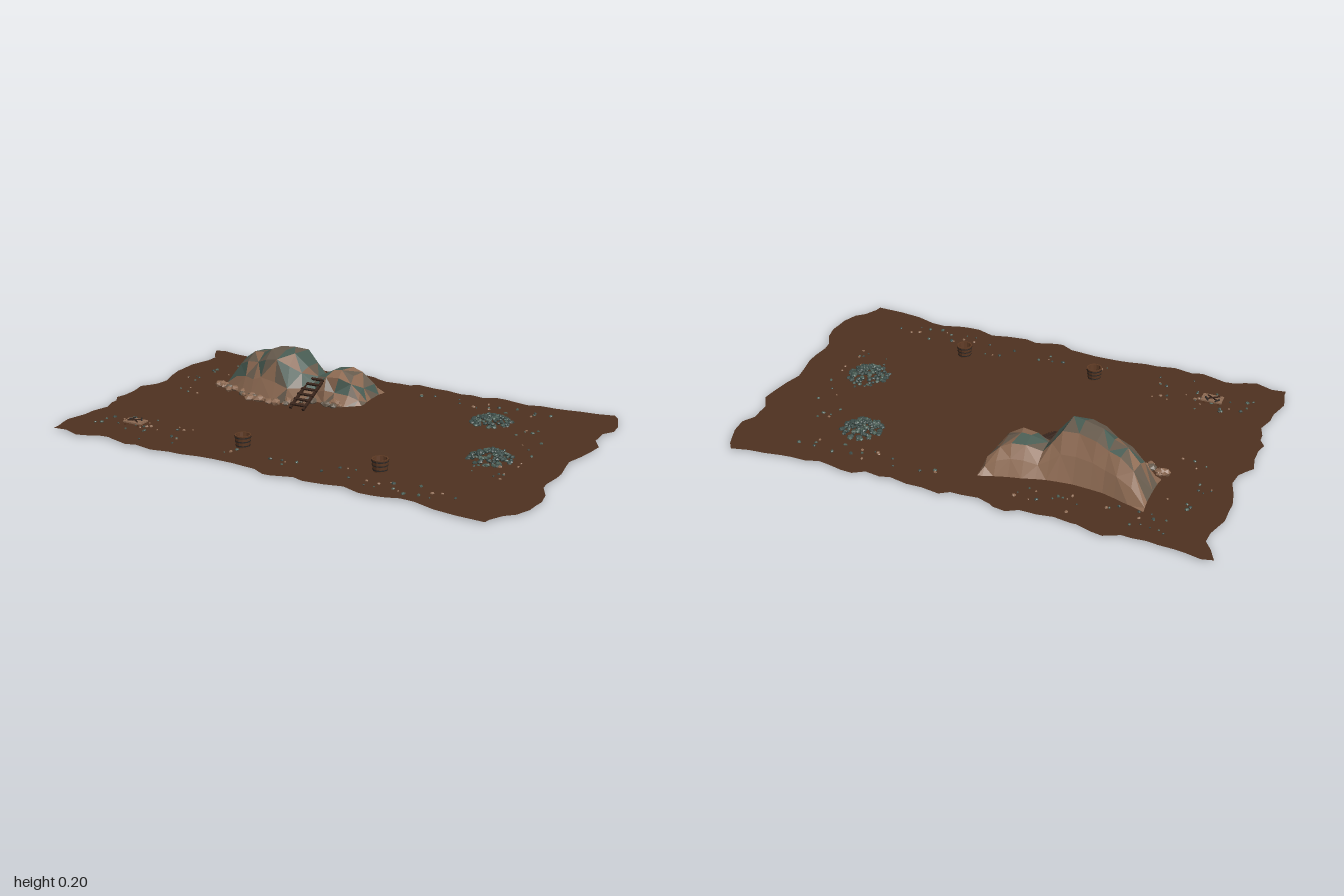
import * as THREE from 'three';
import { mergeGeometries } from 'three/addons/utils/BufferGeometryUtils.js';

const mat = (name, color, side = THREE.FrontSide) => {
  const m = new THREE.MeshStandardMaterial({ color, flatShading: true, side });
  m.name = name;
  return m;
};
const GROUND_Y = 0.006;

export function createModel() {
  const M = {
    earth: mat('earth brown', 0x4f3220, THREE.DoubleSide),
    tan: mat('tan rock', 0x8e6b53),
    grey: mat('grey brown rock', 0x685c4e),
    green: mat('green grey rock', 0x4a5e55),
    ore: mat('dark ore', 0x3a4a46),
    wood: mat('wood', 0x5e3a24),
    darkWood: mat('dark wood', 0x38241a),
    iron: mat('iron', 0x2c2826),
  };
  const model = new THREE.Group();
  model.name = 'quarry';
  let seed = 7;
  const rnd = (a = 0, b = 1) => {
    seed = (seed * 16807) % 2147483647;
    return a + (b - a) * (seed / 2147483647);
  };
  const add = (parent, name, geo, material, x = 0, y = 0, z = 0) => {
    const mesh = new THREE.Mesh(geo, material);
    mesh.name = name;
    mesh.position.set(x, y, z);
    parent.add(mesh);
    return mesh;
  };
  const group = (name, x = 0, y = 0, z = 0) => {
    const g = new THREE.Group();
    g.name = name;
    g.position.set(x, y, z);
    model.add(g);
    return g;
  };
  // Angular stone centred on a point
  const stone = (x, y, z, r, flat = 0.7) => {
    const g = new THREE.IcosahedronGeometry(1, 0);
    g.rotateX(rnd(0, 6)).rotateZ(rnd(0, 6));
    g.scale(r * rnd(0.8, 1.25), r * flat, r * rnd(0.7, 1.1));
    g.rotateY(rnd(0, 6));
    return g.translate(x, Math.max(y, r * flat * 0.95), z);
  };

  // Ragged sheet of ground: corner points with jittered steps between them
  const outline = [[-0.99, -0.6], [-0.85, -0.59], [-0.7, -0.58], [-0.55, -0.6], [-0.4, -0.57], [-0.22, -0.6],
    [-0.1, -0.56], [0.05, -0.59], [0.25, -0.56], [0.4, -0.59], [0.55, -0.57], [0.7, -0.59], [0.9, -0.62],
    [0.96, -0.5], [0.94, -0.35], [0.96, -0.18], [0.93, 0], [0.94, 0.2], [0.98, 0.36], [0.95, 0.5], [0.88, 0.61],
    [0.6, 0.57], [0.45, 0.59], [0.25, 0.58], [0.03, 0.6], [-0.1, 0.57], [-0.3, 0.57], [-0.5, 0.6], [-0.7, 0.57],
    [-0.8, 0.59], [-0.97, 0.59], [-0.99, 0.48], [-0.94, 0.28], [-0.98, 0.16], [-0.99, 0.0], [-0.93, -0.12],
    [-0.97, -0.3], [-0.94, -0.45]];
  const edge = [];
  outline.forEach(([x, z], i) => {
    const [nx, nz] = outline[(i + 1) % outline.length];
    for (let k = 0; k < 3; k++) {
      const t = k / 3, j = k ? 0.017 : 0.005;
      const px = THREE.MathUtils.clamp(x + (nx - x) * t + rnd(-j, j), -1, 1);
      const pz = THREE.MathUtils.clamp(z + (nz - z) * t + rnd(-j, j), -0.62, 0.62);
      edge.push(new THREE.Vector2(px, -pz));
    }
  });
  const ground = new THREE.ShapeGeometry(new THREE.Shape(edge)).rotateX(-Math.PI / 2);
  add(model, 'ground', ground, M.earth, 0, GROUND_Y, 0);

  // Cliff stations: x, height, back foot z, back crest z, front crest z, front foot z
  const stations = [
    [-0.685, 0.025, -0.425, -0.38, -0.31, -0.19], [-0.62, 0.115, -0.40, -0.34, -0.29, -0.16],
    [-0.56, 0.155, -0.38, -0.32, -0.25, -0.135], [-0.51, 0.165, -0.365, -0.31, -0.24, -0.12],
    [-0.46, 0.19, -0.36, -0.30, -0.23, -0.10], [-0.39, 0.2, -0.355, -0.29, -0.21, -0.09],
    [-0.33, 0.197, -0.36, -0.29, -0.20, -0.10], [-0.29, 0.14, -0.365, -0.30, -0.22, -0.14],
    [-0.25, 0.095, -0.375, -0.31, -0.25, -0.18], [-0.20, 0.125, -0.39, -0.33, -0.27, -0.18],
    [-0.15, 0.13, -0.40, -0.345, -0.27, -0.175], [-0.10, 0.11, -0.415, -0.355, -0.285, -0.185],
    [-0.06, 0.06, -0.43, -0.37, -0.30, -0.205], [-0.04, 0.012, -0.435, -0.38, -0.31, -0.23]];
  const rings = stations.map(([x, h, zb, c1, c2, zf], i) => {
    const end = i === 0 || i === stations.length - 1;
    const j = (s) => (end ? 0 : rnd(-s, s));
    const p = (y, z, s) => [x + j(s), y, z + j(s)];
    return [p(0.004, zb, 0), p(h * 0.55, zb + (c1 - zb) * 0.45, 0.002), p(h * 0.96, c1, 0.005),
      p(h, c2, 0.008), p(h * (0.82 + j(0.06)), c2 + (zf - c2) * 0.45, 0.012),
      p(h * (0.42 + j(0.08)), c2 + (zf - c2) * 0.75, 0.012), p(0.004, zf, 0.006)];
  });
  const faces = { tan: [], grey: [], green: [] };
  for (let i = 0; i < rings.length - 1; i++) {
    for (let j = 0; j < 6; j++) {
      const a = rings[i][j], b = rings[i][j + 1], c = rings[i + 1][j + 1], d = rings[i + 1][j];
      const tris = (i + j) % 2 ? [[a, b, c], [a, c, d]] : [[a, b, d], [b, c, d]];
      tris.forEach((t) => {
        const r = rnd();
        let tone = 'tan';
        if (j === 2 || j === 3) tone = r < 0.45 ? 'grey' : r < 0.75 ? 'green' : 'tan';
        if (j === 4) tone = r < 0.4 ? 'green' : r < 0.75 ? 'grey' : 'tan';
        if (j === 5) tone = r < 0.25 ? 'grey' : 'tan';
        faces[tone].push(...t.flat());
      });
    }
  }
  // Small end caps
  [0, rings.length - 1].forEach((k) => {
    const r = rings[k];
    for (let j = 1; j < 6; j++) faces.tan.push(...(k ? [r[0], r[j + 1], r[j]] : [r[0], r[j], r[j + 1]]).flat());
  });
  const cliff = group('cliff');
  Object.entries(faces).forEach(([tone, pts]) => {
    const g = new THREE.BufferGeometry();
    g.setAttribute('position', new THREE.Float32BufferAttribute(pts, 3));
    g.computeVertexNormals();
    add(cliff, tone + 'CliffFaces', g, M[tone]);
  });

  // Rubble along the foot of the cliff
  const rubble = { tan: [], grey: [] };
  for (let i = 0; i < 46; i++) {
    const x = rnd(-0.7, -0.1);
    const s = stations.findIndex((st) => st[0] > x);
    const [p, q] = [stations[s - 1] || stations[0], stations[s]];
    const t = q[0] === p[0] ? 0 : Math.max(0, (x - p[0]) / (q[0] - p[0]));
    const z = p[5] + (q[5] - p[5]) * t + rnd(-0.015, 0.035);
    rubble[i % 3 ? 'tan' : 'grey'].push(stone(x, 0.012, z, rnd(0.009, 0.024), 0.75));
  }
  Object.entries(rubble).forEach(([tone, gs]) => add(cliff, tone + 'Rubble', mergeGeometries(gs), M[tone]));

  // Ladder leaning on the saddle of the cliff
  const ladder = group('ladder', -0.247, 0.054, -0.147);
  ladder.rotation.x = Math.atan2(0.085, 0.18);
  [-1, 1].forEach((s) => add(ladder, 'ladderRail', new THREE.BoxGeometry(0.01, 0.01, 0.2), M.darkWood, s * 0.03, 0, 0));
  for (let i = 0; i < 6; i++) {
    add(ladder, 'ladderRung', new THREE.BoxGeometry(0.076, 0.007, 0.01), M.darkWood, 0, 0.004, -0.08 + i * 0.032);
  }

  // Ore heaps: many stones in a low dome
  [[0.5, -0.31, 0.08, 0.038], [0.66, 0.065, 0.085, 0.042]].forEach(([cx, cz, R, H]) => {
    const parts = { ore: [], green: [] };
    for (let i = 0; i < 120; i++) {
      const q = Math.sqrt((i + 0.5) / 120), a = i * 2.4 + rnd(-0.3, 0.3);
      const y = (H - 0.006) * Math.max(0, 1 - q * q) + rnd(-0.004, 0.004);
      parts[i % 4 ? 'ore' : 'green'].push(
        stone(cx + Math.cos(a) * q * R, y, cz + Math.sin(a) * q * R, rnd(0.007, 0.012), 0.7));
    }
    const heap = group('oreHeap');
    Object.entries(parts).forEach(([tone, gs]) => add(heap, tone + 'Stones', mergeGeometries(gs), M[tone]));
  });

  // Wooden buckets with iron hoops
  [[-0.21, 0.4], [0.36, 0.37]].forEach(([x, z]) => {
    const bucket = group('bucket', x, 0.004, z);
    const profile = [[0, 0], [0.026, 0], [0.032, 0.05], [0.026, 0.05], [0.022, 0.012], [0, 0.012]]
      .map(([r, y]) => new THREE.Vector2(r, y));
    add(bucket, 'bucketStaves', new THREE.LatheGeometry(profile, 12), M.wood);
    [0.01, 0.027, 0.043].forEach((y) => {
      const r = 0.0272 + y * 0.12;
      add(bucket, 'bucketHoop', new THREE.CylinderGeometry(r + 0.0004, r, 0.005, 12), M.iron, 0, y, 0)
        .geometry.deleteAttribute('uv');
    });
    // Hoops stay hollow so the bucket reads as open
    bucket.children.filter((c) => c.name === 'bucketHoop').forEach((c) => {
      const { radiusTop, radiusBottom, height } = c.geometry.parameters;
      c.geometry = new THREE.CylinderGeometry(radiusTop, radiusBottom, height, 12, 1, true);
    });
    add(bucket, 'bucketShade', new THREE.CircleGeometry(0.0225, 12).rotateX(-Math.PI / 2), M.darkWood, 0, 0.016, 0);
  });

  // Low plank table with crossed picks
  const table = group('toolTable', -0.715, 0, 0.4);
  for (let i = 0; i < 3; i++) {
    add(table, 'tablePlank', new THREE.BoxGeometry(0.085, 0.006, 0.016), M.tan, rnd(-0.003, 0.003), 0.02, -0.018 + i * 0.018);
  }
  [-1, 1].forEach((s) => add(table, 'tableSupport', new THREE.BoxGeometry(0.01, 0.015, 0.05), M.wood, s * 0.03, 0.0095, 0));
  [-1, 1].forEach((s) => {
    const pick = new THREE.Group();
    pick.name = 'pick';
    pick.position.set(0, 0.025 + s * 0.001, 0);
    pick.rotation.y = s * 0.6;
    add(pick, 'pickHandle', new THREE.BoxGeometry(0.06, 0.004, 0.005), M.darkWood);
    add(pick, 'pickHead', new THREE.BoxGeometry(0.006, 0.005, 0.026), M.iron, s * 0.026, 0, 0);
    table.add(pick);
  });

  // Pebbles scattered in loose drifts: x range, z range, count
  const pebbles = { tan: [], green: [], ore: [] };
  const tones = ['green', 'ore', 'tan'];
  [[-0.8, -0.2, -0.53, -0.42, 26], [0.05, 0.72, -0.5, -0.42, 18], [0.64, 0.8, -0.3, 0.25, 24],
    [0, 0.72, 0.4, 0.53, 24], [-0.88, -0.45, 0.32, 0.54, 24], [-0.88, -0.72, -0.45, 0.15, 14],
    [-0.74, -0.64, 0.36, 0.46, 10], [-0.25, 0.1, 0.44, 0.52, 5]].forEach(([x0, x1, z0, z1, n]) => {
    for (let i = 0; i < n; i++) {
      pebbles[tones[i % 3]].push(stone(rnd(x0, x1), 0.007, rnd(z0, z1), rnd(0.004, 0.009), 0.75));
    }
  });
  Object.entries(pebbles).forEach(([tone, gs]) => add(model, tone + 'Pebbles', mergeGeometries(gs), M[tone]));

  return model;
}
